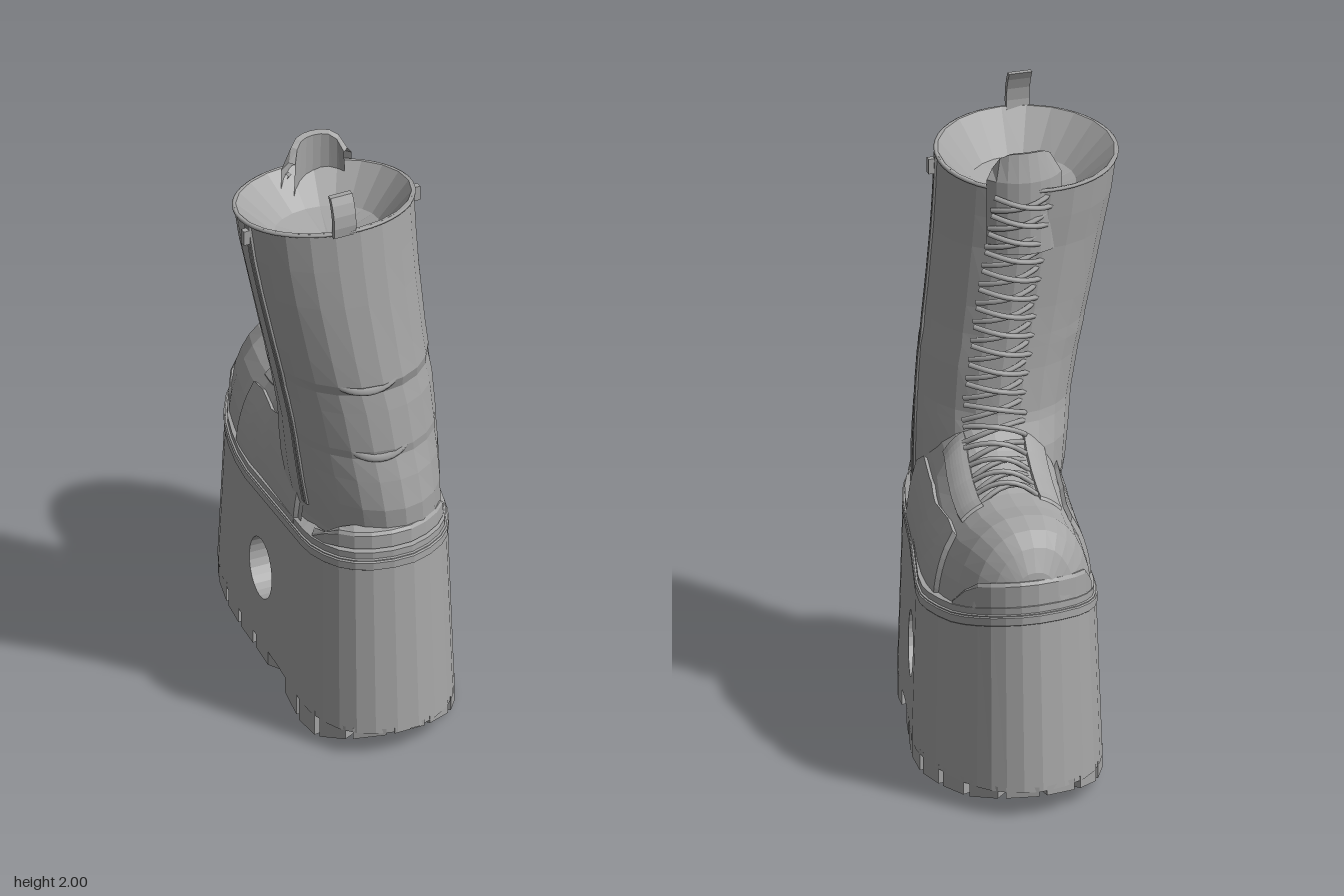
import * as THREE from 'three';

const V = (x, y, z) => new THREE.Vector3(x, y, z);
const { lerp, clamp } = THREE.MathUtils;
const arc = (n, f) => Array.from({ length: n + 1 }, (_, i) => f(i / n, i));

// Interpolate a table of rows whose first column is an ascending key.
function sample(rows, key) {
  const k = clamp(key, rows[0][0], rows[rows.length - 1][0]);
  let i = 0;
  while (i < rows.length - 2 && k > rows[i + 1][0]) i++;
  const a = rows[i], b = rows[i + 1], t = (k - a[0]) / (b[0] - a[0]);
  return a.map((v, j) => lerp(v, b[j], t)).slice(1);
}

// Faceted skin over rings of equal length; skip leaves out columns.
function loft(rings, { closed = true, capStart = false, capEnd = false, skip = [] } = {}) {
  const n = rings[0].length, pts = rings.flat(), idx = [];
  for (let i = 0; i < rings.length - 1; i++)
    for (let j = 0; j < (closed ? n : n - 1); j++) {
      if (skip.includes(j)) continue;
      const k = (j + 1) % n, a = i * n + j, b = i * n + k, c = b + n, d = a + n;
      idx.push(a, d, c, a, c, b);
    }
  const cap = (ring, off, flip) => {
    const m = pts.length;
    pts.push(ring.reduce((s, p) => s.add(p), V(0, 0, 0)).divideScalar(n));
    for (let j = 0; j < n; j++) {
      const a = off + j, b = off + (j + 1) % n;
      idx.push(m, flip ? b : a, flip ? a : b);
    }
  };
  if (capStart) cap(rings[0], 0, false);
  if (capEnd) cap(rings[rings.length - 1], (rings.length - 1) * n, true);
  const g = new THREE.BufferGeometry().setFromPoints(pts);
  g.setIndex(idx);
  return flat(g);
}
function flat(g) {
  const f = g.index ? g.toNonIndexed() : g;
  f.computeVertexNormals();
  return f;
}
const tube = (pts, r, seg = 10, sides = 5) =>
  new THREE.TubeGeometry(new THREE.CatmullRomCurve3(pts), seg, r, sides);

// Sole plan, clockwise from the toe: x, z. Cells 5 and 15 are the straight sides with the hole.
const PLAN = [[.14, -.672], [.25, -.645], [.325, -.575], [.38, -.46], [.412, -.3], [.405, -.16], [.325, .16],
  [.285, .36], [.235, .5], [.16, .605], [.03, .672], [-.11, .655], [-.2, .58], [-.24, .45], [-.23, .3],
  [-.215, .16], [-.185, -.16], [-.15, -.36], [-.1, -.5], [-.01, -.615]];
const at = (i) => PLAN[(i + PLAN.length) % PLAN.length];
const OUTLINE = PLAN.flatMap((p, i) => i === 5 || i === 15 ? [p]
  : [p, p.map((v, c) => (9 * (v + at(i + 1)[c]) - at(i - 1)[c] - at(i + 2)[c]) / 16)]);
const SIDE_R = 10, SIDE_L = 29;
const SOLE_TOP = [[-.65, .672], [-.45, .625], [-.3, .608], [-.2, .605], [0, .622], [.2, .65], [.45, .683], [.65, .7]];
const TREAD = [[-.67, .07], [-.55, .045], [-.3, .03], [0, .04], [.25, .03], [.42, 0], [.5, .02], [.67, .08]];
// Foot stations: z, centre x, half width, base y, top y
const FOOT = [[-.605, .14, .03, .62, .72], [-.593, .14, .09, .6, .79], [-.56, .135, .145, .6, .86], [-.51, .132, .19, .59, .9],
  [-.43, .127, .225, .58, .917], [-.34, .122, .243, .57, .91], [-.24, .115, .252, .57, .912], [-.14, .105, .253, .57, .94],
  [-.06, .095, .25, .57, .98], [0, .085, .247, .57, 1.02], [.1, .068, .242, .58, 1.02], [.3, .035, .237, .6, 1]];
// Shaft sections: y, min x, max x, front z, back z
const SHAFT = [[.62, -.18, .25, -.05, .58], [.72, -.185, .25, -.05, .59], [.85, -.21, .247, -.05, .6], [.95, -.225, .243, -.025, .585],
  [1.03, -.238, .238, .01, .567], [1.06, -.243, .235, .018, .572], [1.2, -.27, .225, .03, .562], [1.27, -.286, .213, .033, .555],
  [1.31, -.295, .209, .034, .572], [1.4, -.315, .2, .035, .565], [1.6, -.355, .186, .03, .55], [1.72, -.376, .182, .02, .54],
  [1.845, -.39, .18, .01, .53]];

function ring(sx, sz, dy, y) {
  return OUTLINE.map(([x, z]) => V(.085 + (x - .085) * sx, y ?? sample(SOLE_TOP, z * .935)[0] + dy, z * sz));
}
function footPoint(z, t, k = 1) {
  const [cx, hw, base, top] = sample(FOOT, z), c = Math.cos(t);
  return V(cx + hw * k * Math.sign(c) * Math.abs(c) ** .8, base + (top - base) * k * Math.sin(t) ** .95, z);
}
// Raised leather panel on the foot, with a stepped rim
function footPanel(side, z0, z1, range, k) {
  const step = (u, i, n) => i === 1 ? .02 : i === n - 1 ? .98 : u;
  const rings = arc(14, (v, i) => {
    const z = lerp(z0, z1, step(v, i, 14)), [lo, hi] = range(z);
    return arc(8, (u, j) => {
      const t = lerp(lo, hi, step(u, j, 8)), rim = i % 14 === 0 || j % 8 === 0;
      return footPoint(z, side > 0 ? t : Math.PI - t, rim ? 1 : k);
    });
  });
  return loft(side > 0 ? rings : rings.reverse(), { closed: false });
}
function shaftPoint(y, a, k = 1) {
  const [x0, x1, z0, z1] = sample(SHAFT, y);
  const tilt = .035 * clamp((y - 1.6) / .245, 0, 1);
  return V((x0 + x1) / 2 + (x1 - x0) / 2 * k * Math.sin(a), y - tilt * Math.cos(a),
    (z0 + z1) / 2 - (z1 - z0) / 2 * k * Math.cos(a));
}

export function createModel() {
  const boot = new THREE.Group();
  boot.name = 'platformBoot';
  const grey = new THREE.MeshStandardMaterial({ color: 0xa6a6a6, side: THREE.DoubleSide });
  grey.name = 'grey';
  const add = (name, geo, parent = boot) => {
    const m = new THREE.Mesh(geo, grey);
    m.name = name;
    parent.add(m);
    return m;
  };
  const group = (name) => {
    const g = new THREE.Group();
    g.name = name;
    boot.add(g);
    return g;
  };

  // Platform sole, with the two side panels left open for the round hole
  const low = ring(1, 1, 0, .085), high = ring(.945, .935, 0);
  add('platformSole', loft([low, high], { capStart: true, capEnd: true, skip: [SIDE_R, SIDE_L] }));
  const wall = (j, z, f) => {
    const u = j === SIDE_R ? (z + .16) / .32 : (.16 - z) / .32;
    return low[j].clone().lerp(low[j + 1], u).lerp(high[j].clone().lerp(high[j + 1], u), f);
  };
  const HZ = .102, HF = .19, HC = .476;
  for (const j of [SIDE_R, SIDE_L]) {
    const s = new THREE.Shape([[-.16, 0], [.16, 0], [.16, 1], [-.16, 1]].map(([x, y]) => new THREE.Vector2(x, y)));
    s.holes.push(new THREE.Path().absellipse(0, HC, HZ, HF, 0, Math.PI * 2));
    const g = new THREE.ShapeGeometry(s, 12), p = g.attributes.position;
    for (let i = 0; i < p.count; i++) {
      const q = wall(j, p.getX(i), p.getY(i));
      p.setXYZ(i, q.x, q.y, q.z);
    }
    if (j === SIDE_R) g.setIndex([...g.index.array].reverse());
    add('soleSidePanel', flat(g));
  }
  const holeRing = (j) => Array.from({ length: 24 }, (_, i) => {
    const a = i / 12 * Math.PI;
    return wall(j, HZ * Math.cos(a), HC + HF * Math.sin(a));
  });
  add('soleTunnel', loft([holeRing(SIDE_L), holeRing(SIDE_R)]));

  // Tread lugs around the edge and bars down the middle
  const treads = group('treads');
  const edge = new THREE.CatmullRomCurve3(ring(1, 1, 0, 0), true);
  const LUGS = 25;
  for (let i = 0; i < LUGS; i++) {
    const a = edge.getPointAt((i + .1) / LUGS), b = edge.getPointAt((i + .9) / LUGS), z = (a.z + b.z) / 2;
    if (z > .09 && z < .23) continue;
    const mid = z > 0 ? V(.02, 0, .43) : V(.11, 0, clamp(z, -.4, 0));
    const q = [a, b, b.clone().lerp(mid, .5), a.clone().lerp(mid, .5)];
    add('lug', loft([q.map(p => V(p.x, sample(TREAD, p.z)[0], p.z)), q.map(p => V(p.x, .1, p.z))],
      { capStart: true }), treads);
  }
  for (const [cx, z0, n] of [[.11, -.4, 8], [.02, .36, 3]])
    for (let i = 0; i < n; i++)
      add('treadBar', flat(new THREE.BoxGeometry(.2, .04, .03)), treads).position.set(cx, .07, z0 + i * .058);

  // Welt step between sole and upper
  add('welt', loft([ring(.945, .935, -.035), ring(.957, .946, -.03), ring(.957, .946, -.005), ring(.925, .92, 0),
    ring(.925, .92, .022), ring(.8, .84, .027)]));

  // Foot with side panels and lace facings
  add('foot', loft([...FOOT].reverse().map(r => arc(16, u => footPoint(r[0], u * Math.PI))), { closed: false }));
  const PANEL_TOP = [[-.3, .815], [-.25, .83], [-.08, .835], [-.02, .865], [.2, .87], [.27, .82]];
  for (const side of [1, -1]) {
    add('sidePanel', footPanel(side, .27, -.3, (z) => {
      const [, , base, top] = sample(FOOT, z);
      return [0, Math.asin(clamp((sample(PANEL_TOP, z)[0] - base) / (top - base), 0, 1))];
    }, 1.05));
    add('laceFacing', footPanel(side, .06, -.28, () => [.95, 1.28], 1.025));
  }

  // Toe and heel bumpers, tapering in height at their ends
  const band = (name, from, to, y0, y1, s) => {
    const pick = (d, dy) => {
      const r = ring(s + .01 - d, s - d, 0);
      return arc(to - from, (u, i) => {
        const p = r[(from + i + r.length) % r.length];
        p.y += dy * clamp((Math.abs(p.z) - .38) / .12, .3, 1);
        return p;
      });
    };
    add(name, loft([pick(0, y0), pick(.003, y1 - .01), pick(.015, y1), pick(.08, y1)], { closed: false }));
  };
  band('toeBumper', -4, 6, .015, .1, .913);
  band('heelBumper', 15, 25, .03, .085, .905);

  // Shaft with rim and shallow lining
  const SEG = 22;
  const hoop = (y, k) => Array.from({ length: SEG }, (_, i) => shaftPoint(y, i / SEG * Math.PI * 2, k));
  add('shaft', loft([...SHAFT.map(r => hoop(r[0], 1)), hoop(1.845, .975), hoop(1.73, .6), hoop(1.69, .1)], { capEnd: true }));
  add('cuffEdge', new THREE.TubeGeometry(new THREE.CatmullRomCurve3(hoop(1.84, 1), true), 44, .006, 5, true));

  // Folds at the back of the ankle
  for (const [y, w] of [[1.3, .4], [1.045, .38]])
    add('ankleFold', tube(arc(8, u => {
      const e = 2 * u - 1, p = shaftPoint(y, Math.PI + .2 + e * w, .985 - .03 * e * e);
      p.y += .025 * e * e - .01;
      return p;
    }), .015));

  // Side zips
  for (const side of [1, -1]) {
    const zip = group('sideZip'), a0 = side * (Math.PI / 2 + .15);
    const strip = arc(16, v => [[-.06, .99], [-.045, 1.018], [-.01, 1.018], [0, 1.005], [.01, 1.018], [.045, 1.018], [.06, .99]]
      .map(([da, k]) => shaftPoint(lerp(.77, 1.84, v), a0 + da * side, k)));
    add('zipTape', loft(strip, { closed: false }), zip);
    add('zipPull', flat(new THREE.BoxGeometry(.02, .05, .02)), zip).position.copy(shaftPoint(1.8, a0, 1.05));
  }

  // Pull tab at the back
  add('pullTab', loft([[1.865, .522], [1.9, .526], [1.94, .522], [1.975, .51], [2, .497]].map(([y, z]) =>
    [V(-.195, y, z - .008), V(-.12, y, z - .008), V(-.12, y, z + .01), V(-.195, y, z + .01)]),
    { capStart: true, capEnd: true }));

  // Tongue rising above the front rim
  const tongue = (r, y, drop) => arc(8, u => {
    const a = (u - .5) * 2;
    return V(-.035 + r * Math.sin(a), y - drop * a ** 4, .15 - r * Math.cos(a));
  });
  add('tongue', loft([tongue(.145, 1.6, 0), tongue(.145, 1.84, 0), tongue(.12, 1.93, .06), tongue(.1, 1.925, .06),
    tongue(.11, 1.6, 0)], { closed: false }));

  // Crossed laces
  const laces = group('laces');
  const path = new THREE.CatmullRomCurve3([V(.12, .91, -.27), V(.11, .935, -.16), V(.1, .97, -.085), V(.085, 1.03, -.02),
    V(.07, 1.12, .016), V(.05, 1.25, .024), V(.03, 1.4, .028), V(0, 1.6, .025), V(-.03, 1.81, .01)]);
  const onPath = (s, u, lift, slope) => {
    const c = path.getPointAt(s), t = path.getTangentAt(s);
    const n = V(0, t.z, -t.y).normalize();
    if (n.y < 0 && n.z > 0) n.negate();
    return c.add(V(u * .1, 0, 0)).addScaledVector(n, lift - .05 * u * u).addScaledVector(t, slope * u);
  };
  const ROWS = 17;
  for (let i = 0; i < ROWS; i++)
    for (const dir of [1, -1])
      add('lace', tube(arc(6, v => onPath(lerp(.04, .96, i / (ROWS - 1)), 2 * v - 1, dir > 0 ? .028 : .017, dir * .024)),
        .009, 8), laces);

  return boot;
}
